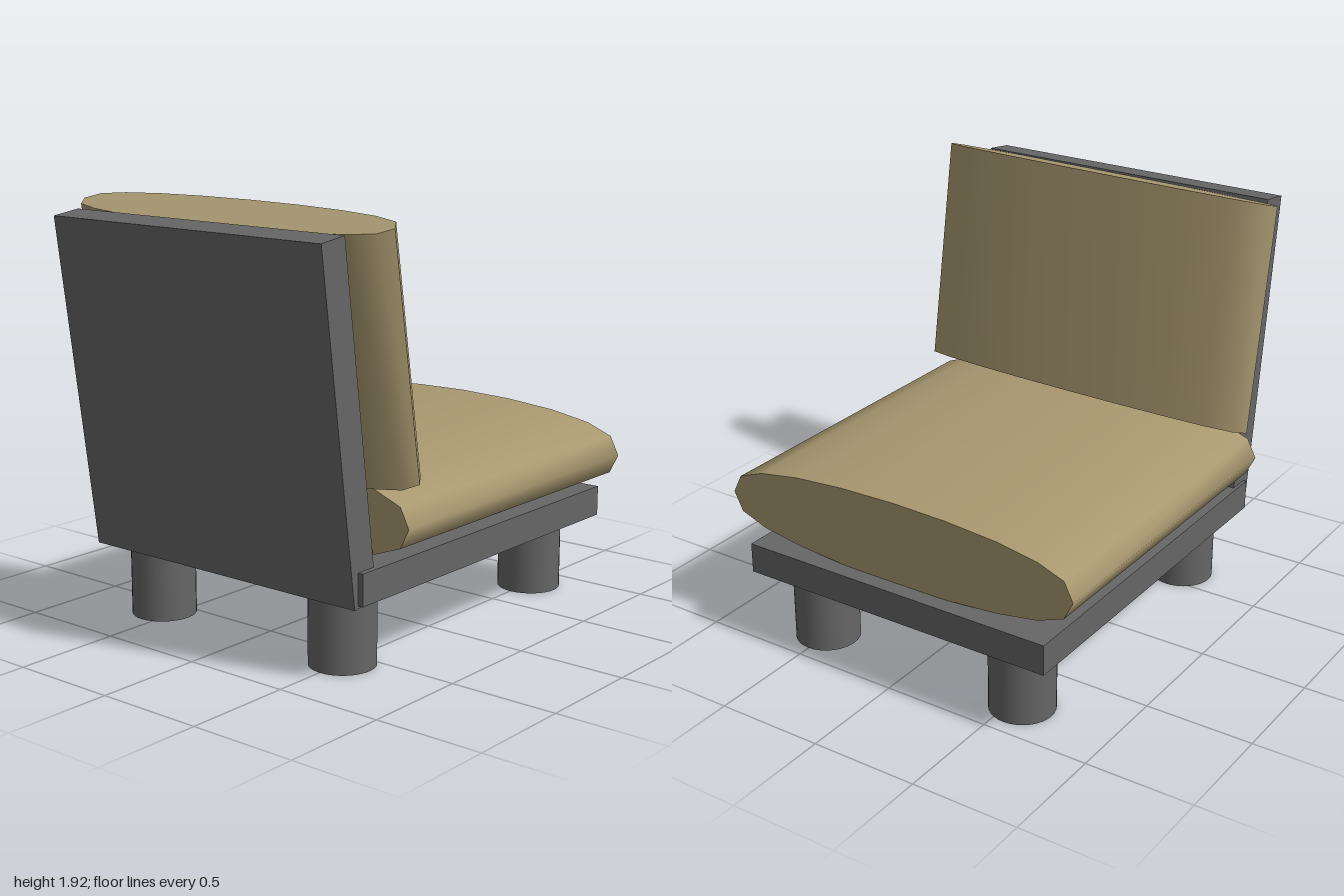
import * as THREE from 'three';
import { toCreasedNormals } from 'three/addons/utils/BufferGeometryUtils.js';

const frameMaterial = new THREE.MeshStandardMaterial({ color: 0x666666 });
const cushionMaterial = new THREE.MeshStandardMaterial({ color: 0xa89870 });

// 20-sided pillow outline, one unit in each half-direction, fuller than an ellipse
function pillowShape() {
  const points = [];
  for (let i = 0; i < 20; i++) {
    const a = (i / 20) * Math.PI * 2;
    const s = Math.sin(a);
    points.push(new THREE.Vector2(Math.cos(a), Math.sign(s) * Math.abs(s) ** 0.68));
  }
  return new THREE.Shape(points);
}

// Cushion swept from start along length; width and thick are its half-axes
function cushion(name, start, width, thick, length) {
  const v = (a) => new THREE.Vector3(...a);
  const geometry = new THREE.ExtrudeGeometry(pillowShape(), { depth: 1, bevelEnabled: false });
  geometry.applyMatrix4(new THREE.Matrix4().makeBasis(v(width), v(thick), v(length)).setPosition(v(start)));
  const mesh = new THREE.Mesh(toCreasedNormals(geometry, 1.1), cushionMaterial);
  mesh.name = name;
  return mesh;
}

function framePart(name, geometry, x, y, z) {
  const mesh = new THREE.Mesh(geometry, frameMaterial);
  mesh.name = name;
  mesh.position.set(x, y, z);
  return mesh;
}

export function createModel() {
  const chair = new THREE.Group();
  chair.name = 'loungeChair';

  // Seat platform
  chair.add(framePart('seatBase', new THREE.BoxGeometry(1.775, 0.14, 1.545), 0.1125, 0.415, -0.023));

  // Leaning back panel
  const back = framePart('backPanel', new THREE.BoxGeometry(0.141, 1.52, 1.505), -0.828, 1.092, -0.028);
  back.rotation.z = 0.134;
  chair.add(back);

  // Four round legs
  const legGeometry = new THREE.CylinderGeometry(0.147, 0.147, 0.345, 32);
  for (const x of [-0.607, 0.792]) {
    for (const z of [-0.557, 0.503]) chair.add(framePart('leg', legGeometry, x, 0.1725, z));
  }

  // Cushions
  chair.add(cushion('seatCushion', [-0.67, 0.673, 0.007], [0, 0, -0.892], [0, 0.193, 0], [1.595, 0, 0]));
  chair.add(cushion('backCushion', [-0.575, 0.8425, 0.003], [-0.018, 0, 0.89], [0.135, 0.04, 0], [-0.155, 1.04, -0.012]));

  return chair;
}
